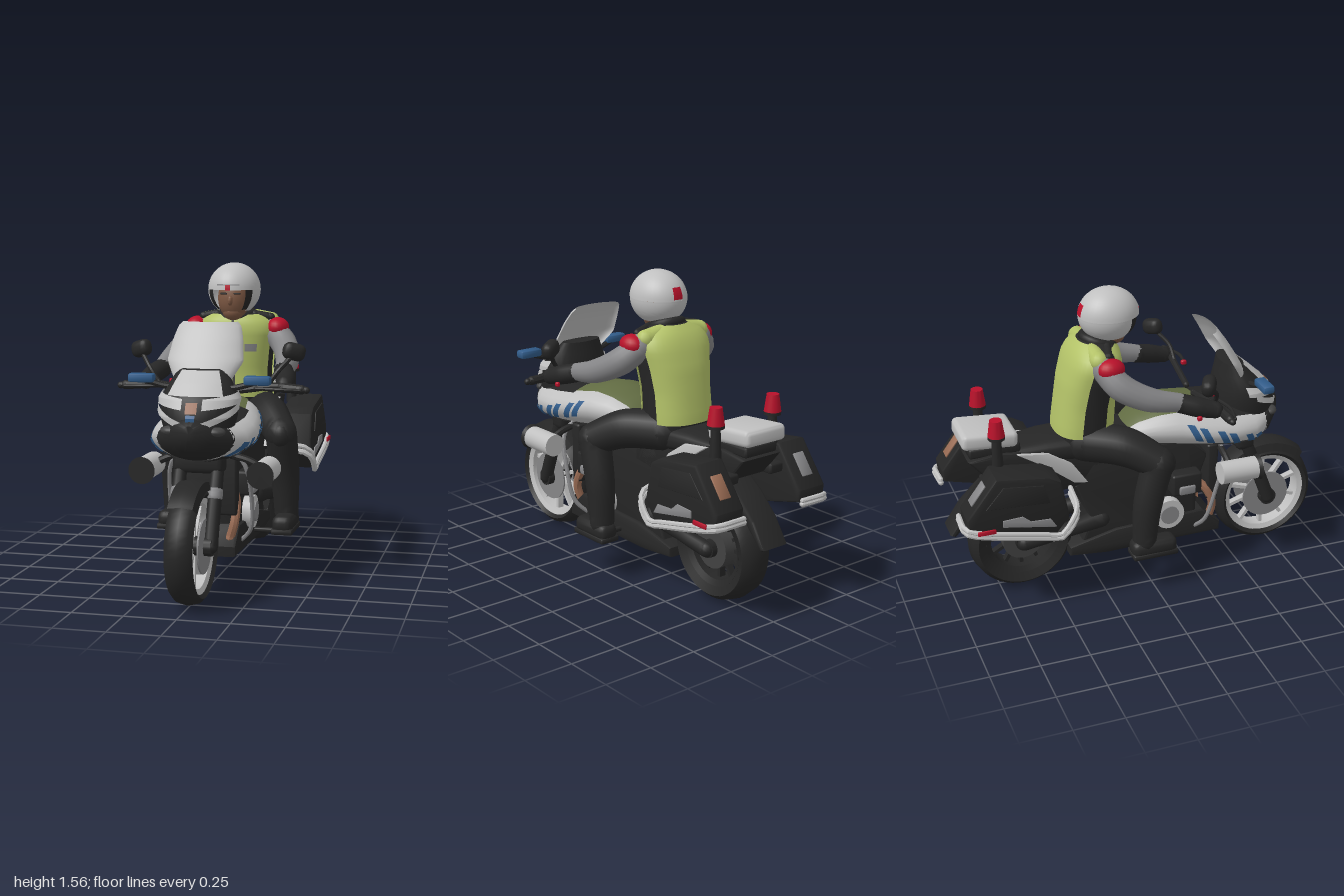
import * as THREE from 'three';
import { mergeGeometries, toCreasedNormals } from 'three/addons/utils/BufferGeometryUtils.js';
import { RoundedBoxGeometry } from 'three/addons/geometries/RoundedBoxGeometry.js';

const PI = Math.PI, FRONT = 1.5 * PI;
const V = (p) => new THREE.Vector3(p[0], p[1], p[2]);
const paint = (name, color) => Object.assign(new THREE.MeshStandardMaterial({ color, side: THREE.DoubleSide }), { name });

// Bodies are super-ellipse sections [t, centre, halfWidth, halfDepth, power], stacked along z or y.
// Angle 0 is +x; PI/2 is up (along z) or back (along y).
function sectionPoint([t, c, w, h, p = 2], axis, a, grow = 0) {
  const f = (v) => Math.sign(v) * Math.abs(v) ** (2 / p);
  const x = (w + grow) * f(Math.cos(a)), s = (h + grow) * f(Math.sin(a));
  return axis === 'z' ? [x, c + s, t] : [x, t, c - s];
}
function sectionAt(secs, t) {
  t = THREE.MathUtils.clamp(t, secs[0][0], secs.at(-1)[0]);
  const j = Math.max(1, secs.findIndex((s) => s[0] >= t)), a = secs[j - 1], b = secs[j];
  return a.map((v, i) => v + (b[i] - v) * (t - a[0]) / (b[0] - a[0]));
}
const slice = (secs, t0, t1) => [sectionAt(secs, t0), ...secs.filter((s) => s[0] > t0 && s[0] < t1), sectionAt(secs, t1)];
function grid(rows, extra = []) {
  const m = rows[0].length, idx = [];
  for (let j = 0; j < rows.length - 1; j++) for (let i = 0; i < m - 1; i++) {
    const a = j * m + i;
    idx.push(a, a + 1, a + m, a + 1, a + m + 1, a + m);
  }
  const g = new THREE.BufferGeometry();
  g.setAttribute('position', new THREE.Float32BufferAttribute([...rows, extra].flat(2), 3));
  g.setIndex(idx);
  return g;
}
// Closed body with end caps
function loft(secs, axis, n = 28) {
  const rows = secs.map((s) => Array.from({ length: n + 1 }, (_, i) => sectionPoint(s, axis, i / n * 2 * PI)));
  const ends = [secs[0], secs.at(-1)].map(([t, c]) => (axis === 'z' ? [0, c, t] : [0, t, c]));
  const g = grid(rows, ends), idx = [...g.index.array], k = rows.length * (n + 1), top = k - n - 1;
  for (let i = 0; i < n; i++) idx.push(k, i + 1, i, k + 1, top + i, top + i + 1);
  return g.setIndex(idx);
}
// Thin skin laid on part of a body; lean shifts t across the angle
function drape(secs, axis, t0, t1, a0, a1, grow = .008, lean = 0, n = 16) {
  const rows = [];
  for (let j = 0; j <= n; j++) rows.push(Array.from({ length: n + 1 }, (_, i) =>
    sectionPoint(sectionAt(secs, t0 + (t1 - t0) * j / n + lean * i / n), axis, a0 + (a1 - a0) * i / n, grow)));
  return grid(rows);
}

// Round-ended limb through points [x, y, z, radius]
function limb(pts, radial = 14, steps = 16) {
  const curve = new THREE.CatmullRomCurve3(pts.map(V), false, 'centripetal'), g = new THREE.TubeGeometry(curve, steps, 1, radial);
  const p = g.attributes.position, v = new THREE.Vector3();
  for (let i = 0; i < p.count; i++) {
    const u = Math.floor(i / (radial + 1)) / steps, c = curve.getPointAt(u);
    const t = curve.getUtoTmapping(u) * (pts.length - 1), k = Math.min(Math.floor(t), pts.length - 2);
    v.fromBufferAttribute(p, i).sub(c).multiplyScalar(THREE.MathUtils.lerp(pts[k][3], pts[k + 1][3], t - k)).add(c);
    p.setXYZ(i, v.x, v.y, v.z);
  }
  const ends = [pts[0], pts.at(-1)].map((q) => new THREE.SphereGeometry(q[3], radial, 8).translate(q[0], q[1], q[2]));
  return mergeGeometries([g, ...ends]);
}
const pipe = (r, ...pts) => limb(pts.map((p) => [...p, r]), 8, 24);

// Side outline of [z, y] points, extruded across x and centred on x
function slab(pts, width, x = 0, bevel = 0.015) {
  const g = new THREE.ExtrudeGeometry(new THREE.Shape(pts.map((p) => new THREE.Vector2(...p))),
    { depth: width - 2 * bevel, bevelThickness: bevel, bevelSize: bevel, bevelOffset: -bevel, bevelSegments: 2 });
  return g.translate(0, 0, bevel - width / 2).rotateY(-PI / 2).translate(x, 0, 0);
}
const box = (w, h, d, x, y, z, r = 0.012) => new RoundedBoxGeometry(w, h, d, 2, r).translate(x, y, z);
const ball = (x, y, z, a, b, c) => new THREE.SphereGeometry(1, 20, 14).scale(a, b, c).translate(x, y, z);
const axle = (r, len, x, y, z) => new THREE.CylinderGeometry(r, r, len, 28).rotateZ(PI / 2).translate(x, y, z);
// Profile of [radius, across], turned about the x axis; angle 0 is forward, PI/2 is up
const ring = (pts, y, z, a0 = 0, a1 = 2 * PI) =>
  new THREE.LatheGeometry(pts.map((p) => new THREE.Vector2(...p)), 48, a0, a1 - a0).rotateZ(PI / 2).translate(0, y, z);

export function createModel() {
  const model = new THREE.Group();
  const black = paint('black', 0x262626), dark = paint('dark grey', 0x424242), grey = paint('grey', 0x858587);
  const silver = paint('silver', 0xc0c0c0), lime = paint('lime', 0xb3c268), olive = paint('olive', 0x616b42);
  const blue = paint('blue', 0x315c8a), red = paint('red', 0xb8112a), skin = paint('skin', 0x7d5843), copper = paint('copper', 0x9a6c54);
  const add = (name, mat, geo) => {
    const m = new THREE.Mesh(toCreasedNormals(geo, 0.75), mat);
    m.name = name;
    model.add(m);
  };

  // Wheels
  function wheel(name, y, z, R, w, rimR, spokes, rimMat) {
    add(name + 'Tyre', black, ring([[rimR, -w * .75], [R - .035, -w], [R - .012, -w * .7], [R, 0], [R - .012, w * .7], [R - .035, w], [rimR, w * .75], [rimR, -w * .75]], y, z));
    add(name + 'Rim', rimMat, ring([[rimR - .025, -w * .6], [rimR + .004, -w * .78], [rimR + .004, w * .78], [rimR - .025, w * .6], [rimR - .025, -w * .6]], y, z));
    const arms = [];
    for (let i = 0; i < spokes; i++)
      arms.push(new THREE.BoxGeometry(.035, rimR, .018).translate(0, rimR / 2, 0).rotateX(i / spokes * 2 * PI).translate(0, y, z));
    add(name + 'Spokes', rimMat, mergeGeometries(arms));
    add(name + 'Hub', black, axle(.045, .2, 0, y, z));
  }
  wheel('front', .28, .725, .278, .068, .225, 10, silver);
  wheel('rear', .28, -.63, .272, .088, .19, 12, black);
  for (const x of [-.06, .06]) add('frontBrakeDisc', grey, axle(.13, .008, x, .28, .725));
  add('rearBrakeDisc', dark, axle(.105, .14, 0, .28, -.63));
  add('frontFender', black, ring([[.26, -.075], [.3, -.06], [.312, 0], [.3, .06], [.26, .075]], .28, .725, .8, 2.3));
  add('rearFender', black, slab([[-.68, .7], [-.82, .6], [-.92, .5], [-1, .38], [-.975, .37], [-.85, .5], [-.7, .6]], .16));

  // Engine, belly and frame
  add('engineBlock', black, slab([[.3, .2], [.3, .45], [.36, .62], [.25, .72], [-.25, .72], [-.36, .56], [-.28, .36], [-.34, .2]], .24));
  add('bellyPan', black, slab([[.43, .16], [.43, .21], [.33, .3], [-.15, .28], [-.4, .22], [-.4, .17], [-.2, .15]], .28));
  add('radiator', black, box(.28, .32, .06, 0, .52, .38));
  add('forkBridge', black, box(.25, .13, .1, 0, .665, .575, .03));
  add('tailFrame', black, slab([[-.1, .6], [-.1, .75], [-.45, .78], [-.75, .82], [-.9, .8], [-.8, .68], [-.45, .55]], .24));
  add('seat', black, loft([[-.66, .79, .1, .03, 3], [-.5, .78, .13, .06, 3], [-.25, .77, .15, .07, 3], [-.02, .77, .13, .06, 3]], 'z'));
  for (const s of [-1, 1]) add('swingArm', black, limb([[s * .09, .34, -.22, .05], [s * .11, .31, -.45, .035], [s * .1, .28, -.63, .04]]));

  // Bodywork
  const body = [[-.1, .77, .09, .03], [-.02, .8, .14, .07], [.08, .81, .18, .1], [.18, .81, .21, .115], [.32, .79, .24, .11],
    [.46, .775, .255, .108], [.58, .765, .235, .105], [.68, .775, .17, .1], [.74, .8, .1, .08], [.78, .81, .03, .04]];
  add('fairing', silver, loft(slice(body, -.1, .66), 'z'));
  add('nose', black, loft(slice(body, .65, .78), 'z'));
  add('tankTop', olive, drape(body, 'z', -.09, .33, PI / 2 - .72, PI / 2 + .72));
  add('cockpitFloor', black, drape(body, 'z', .33, .62, .75, PI - .75));
  add('chin', black, drape(body, 'z', .3, .67, PI + .8, 2 * PI - .8));
  const cowl = [[.78, .59, .16, .15], [.88, .59, .185, .155], [.96, .57, .185, .135], [1.03, .54, .15, .09], [1.09, .51, .115, .05]];
  add('cowl', black, loft(cowl, 'y'));
  add('cowlCentre', silver, drape(cowl, 'y', .975, 1.085, FRONT - .8, FRONT + .8));
  add('windscreen', silver, drape([[1.02, .53, .13, .06], [1.12, .465, .187, .07], [1.22, .41, .172, .065], [1.28, .372, .155, .06], [1.3, .36, .135, .055]], 'y', 1.02, 1.3, PI, 2 * PI, 0));
  add('noseBadgePlate', copper, drape(cowl, 'y', .9, .95, FRONT - .14, FRONT + .14, .014));
  add('noseLamp', blue, drape(cowl, 'y', .865, .895, FRONT - .11, FRONT + .11, .014));

  // Mirrored parts of the motorcycle
  for (const s of [-1, 1]) {
    const turn = (a) => (s > 0 ? a : PI - a);
    for (const [z, a] of [[.615, -.8], [.555, -.72], [.46, -.6], [.4, -.5], [.31, -.4], [.25, -.3]])
      add('blueStripe', blue, drape(body, 'z', z, z + .038, turn(a), turn(a + .72), .007, -.045));
    const fan = (a) => FRONT + s * a;
    add('noseBlade', silver, drape(cowl, 'y', .815, .85, fan(.12), fan(1.5), .012, .1));
    add('noseWing', silver, drape(cowl, 'y', .915, .965, fan(.25), fan(1.75), .012, .03));
    add('headlight', dark, ball(s * .1, .815, .7, .055, .025, .04));
    add('forkLeg', black, limb([[s * .09, .28, .725, .035], [s * .09, .5, .64, .034], [s * .09, .76, .53, .03]]));
    add('forkCollar', grey, limb([[s * .09, .5, .64, .037], [s * .09, .52, .632, .037]]));
    add('engineCover', silver, axle(.082, .06, s * .14, .33, .13));
    add('engineCoverCap', grey, axle(.05, .07, s * .145, .33, .13));
    add('cylinderHead', black, box(.1, .12, .16, s * .14, .5, .22));
    add('cylinderFins', grey, box(.03, .05, .09, s * .185, .47, .22));
    add('exhaustPipe', copper, pipe(.022, [s * .1, .47, .3], [s * .125, .42, .35], [s * .125, .33, .385], [s * .1, .24, .38]));
    add('crashBar', grey, pipe(.011, [s * .1, .7, .42], [s * .18, .62, .42], [s * .205, .45, .37], [s * .19, .28, .32], [s * .12, .2, .28]));
    add('speaker', silver, new THREE.CylinderGeometry(.058, .058, .2, 24).rotateX(PI / 2).translate(s * .29, .595, .455));
    add('speakerHorn', black, new THREE.CylinderGeometry(.066, .058, .02, 24).rotateX(PI / 2).translate(s * .29, .595, .56));
    add('speakerBracket', black, pipe(.018, [s * .12, .66, .42], [s * .2, .64, .42], [s * .28, .6, .42]));
    add('footPeg', black, axle(.014, .18, s * .19, .205, .0));
    add('sidePanel', silver, slab([[-.3, .59], [-.37, .6], [-.52, .72], [-.66, .81], [-.5, .79], [-.38, .71]], .02, s * .13, .004));
    // Handlebar, mirror and blue warning light
    add('handlebar', black, pipe(.017, [s * .05, .95, .3], [s * .18, .97, .31], [s * .32, .99, .32], [s * .465, .975, .335]));
    add('grip', black, pipe(.023, [s * .34, .985, .322], [s * .44, .977, .333]));
    add('lever', black, pipe(.009, [s * .22, .98, .36], [s * .34, .98, .38], [s * .44, .975, .36]));
    add('gripSwitch', red, box(.022, .025, .03, s * .2, 1.005, .345, .008));
    add('gripButton', red, box(.02, .025, .025, s * .375, .975, .2, .008));
    add('mirrorStem', black, pipe(.012, [s * .27, .99, .32], [s * .32, 1.06, .31], [s * .37, 1.12, .26]));
    add('mirror', black, box(.115, .085, .07, 0, 0, 0, .034).rotateZ(s * -.25).rotateY(s * .5).translate(s * .385, 1.15, .24));
    add('warningLight', blue, box(.125, .042, .06, s * .28, 1.045, .585));
    add('warningLightArm', black, pipe(.014, [s * .1, 1, .56], [s * .18, 1.01, .57], [s * .25, 1.03, .58]));
    // Pannier with its guard rail, reflector and rear plate
    add('pannier', black, slab([[-.5, .74], [-.56, .775], [-.82, .81], [-.97, .61], [-.965, .55], [-.54, .44], [-.46, .54]], .17, s * .262));
    add('pannierLid', black, slab([[-.56, .64], [-.59, .74], [-.79, .765], [-.88, .66]], .012, s * .347, .003));
    add('pannierPatch', grey, slab([[-.53, .5], [-.56, .55], [-.66, .555], [-.7, .59], [-.8, .585], [-.8, .55]], .012, s * .348, .003));
    for (const [h, r] of [[0, .015], [.03, .013]])
      add('guardRail', silver, pipe(r, [s * .16, .56 + h, -.4], [s * .33, .54 + h, -.42], [s * .358, .5 + h, -.45], [s * .36, .435 + h * .6, -.515],
        [s * .358, .445 + h * .6, -.56], [s * .352, .535 + h * .6, -.95], [s * .33, .545 + h * .6, -.98], [s * .19, .545 + h * .6, -.98]));
    add('sideReflector', red, box(.01, .024, .09, s * .372, .55, -.885, .004));
    add('rearPlate', s > 0 ? copper : grey, box(.065, .12, .008, 0, 0, 0, .003).rotateX(.64).translate(s * .262, .71, -.9));
    add('pannierMount', black, box(.1, .05, .3, s * .15, .7, -.7));
    add('beaconPole', black, new THREE.CylinderGeometry(.022, .03, .18, 16).translate(s * .18, .86, -.77));
    add('beaconCollar', black, new THREE.CylinderGeometry(.042, .042, .015, 20).translate(s * .18, .95, -.77));
    add('beacon', red, new THREE.CylinderGeometry(.03, .042, .085, 20).translate(s * .18, 1, -.77));
  }
  add('radioBox', silver, box(.25, .08, .28, 0, 0, 0, .025).rotateX(.08).translate(0, .895, -.785));
  add('rack', black, box(.2, .05, .26, 0, .83, -.76));

  // Rider's torso and vest
  const torso = [[.78, -.29, .16, .13, 2.4], [.86, -.285, .165, .145, 2.4], [1, -.27, .165, .14, 2.4], [1.12, -.25, .18, .14, 2.4],
    [1.22, -.23, .2, .13, 2.4], [1.28, -.22, .175, .11, 2.3], [1.32, -.22, .09, .07, 2]];
  add('torso', black, loft(torso, 'y'));
  add('vestBack', lime, drape(torso, 'y', .85, 1.318, .25, PI - .25));
  add('vestFront', lime, drape(torso, 'y', .87, 1.3, PI + .42, 2 * PI - .42));
  add('vestZip', dark, drape(torso, 'y', .88, 1.28, FRONT - .02, FRONT + .02, .012));
  for (const s of [-1, 1]) add('chestPatch', grey, drape(torso, 'y', 1.11, 1.15, FRONT + s * .25, FRONT + s * .6, .014));
  add('neck', skin, limb([[0, 1.24, -.23, .065], [0, 1.36, -.16, .06]]));
  add('collar', black, new THREE.TorusGeometry(.075, .024, 10, 24).rotateX(PI / 2 + .3).translate(0, 1.305, -.195));

  // Head and open-face helmet
  add('face', skin, ball(0, 1.385, -.125, .082, .115, .085));
  add('noseTip', skin, ball(0, 1.375, -.042, .013, .026, .018));
  add('jaw', skin, ball(0, 1.315, -.11, .055, .045, .055));
  for (const s of [-1, 1]) add('brow', black, box(.035, .008, .01, s * .035, 1.41, -.045, .003));
  const shell = (a0, len, t0, t1, k = 1) =>
    new THREE.SphereGeometry(k, 32, 14, a0, len, t0, t1 - t0).scale(.134, .135, .153).translate(0, 1.43, -.137);
  add('helmetTop', silver, shell(0, 2 * PI, 0, .5 * PI));
  add('helmetBack', silver, shell(PI / 2 + 1, 2 * PI - 2, .5 * PI, .8 * PI));
  for (const a of [PI / 2 + .7, PI / 2 - 1.15]) add('cheekPad', black, shell(a, .45, .47 * PI, .78 * PI, .985));
  add('visorBand', grey, shell(PI / 2 - .45, .9, .43 * PI, .445 * PI, 1.012));
  add('helmetFrontMark', red, shell(PI / 2 - .1, .2, .44 * PI, .5 * PI, 1.02));
  add('helmetBackMark', red, shell(FRONT - .2, .4, .34 * PI, .48 * PI, 1.012));

  // Arms and legs
  for (const s of [-1, 1]) {
    add('sleeve', grey, limb([[s * .185, 1.22, -.22, .066], [s * .255, 1.15, -.165, .068], [s * .3, 1.08, -.03, .06], [s * .31, 1.045, .12, .046]]));
    add('shoulderPatch', red, ball(s * .215, 1.232, -.2, .058, .052, .07));
    add('vestShoulder', lime, limb([[s * .08, 1.285, -.25, .036], [s * .17, 1.262, -.245, .045]]));
    add('epaulette', black, limb([[s * .1, 1.3, -.18, .02], [s * .18, 1.285, -.2, .02]]));
    add('glove', black, limb([[s * .31, 1.042, .12, .048], [s * .335, 1.02, .2, .05], [s * .35, .995, .29, .042]]));
    add('thigh', black, limb([[s * .09, .8, -.3, .1], [s * .19, .785, -.12, .1], [s * .28, .715, .025, .083]]));
    add('shin', black, limb([[s * .28, .71, .02, .082], [s * .29, .5, -.035, .075], [s * .295, .29, -.055, .062]]));
    add('kneePad', black, ball(s * .285, .71, .06, .055, .065, .05));
    add('boot', black, box(.105, .09, .24, s * .3, .255, -.01, .035));
    add('bootSole', black, box(.11, .03, .24, s * .3, .22, -.01, .01));
  }
  return model;
}
